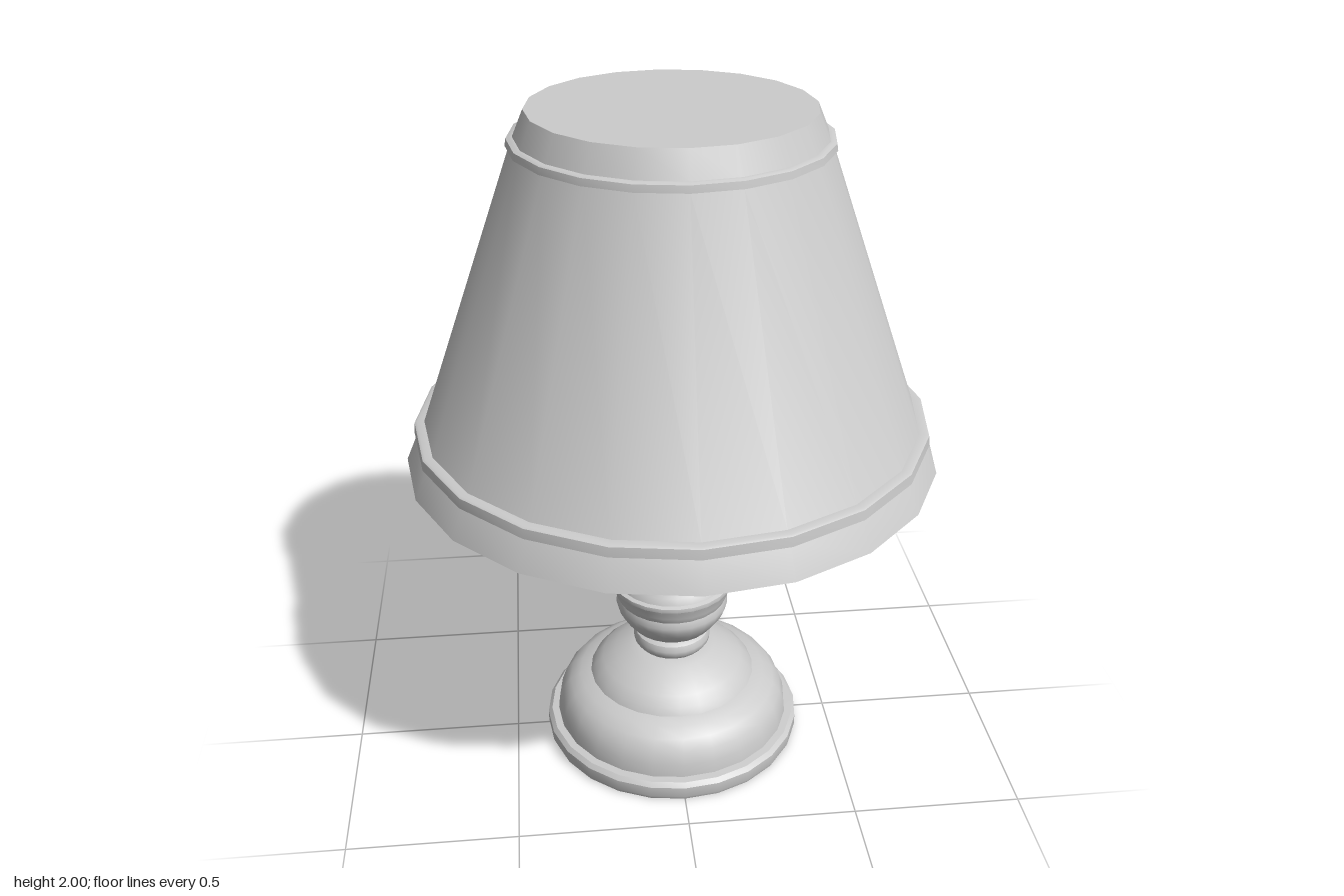
import * as THREE from 'three';
import { toCreasedNormals } from 'three/addons/utils/BufferGeometryUtils.js';

const material = new THREE.MeshStandardMaterial({ color: 0xcccccc });

// Turned part from [radius, height] pairs, smooth except at sharp edges
function turned(name, profile, sides, crease = 0.6) {
  const points = profile.map(([r, y]) => new THREE.Vector2(r, y));
  const geometry = toCreasedNormals(new THREE.LatheGeometry(points, sides), crease);
  const mesh = new THREE.Mesh(geometry, material);
  mesh.name = name;
  return mesh;
}

export function createModel() {
  const lamp = new THREE.Group();
  lamp.name = 'tableLamp';

  // Stepped foot with a domed shoulder
  lamp.add(turned('foot', [
    [0, 0], [0.395, 0], [0.4, 0.012], [0.4, 0.045], [0.388, 0.058], [0.366, 0.06],
    [0.362, 0.1], [0.348, 0.14], [0.325, 0.17], [0.292, 0.192], [0.258, 0.203],
    [0.245, 0.225], [0.22, 0.25], [0.18, 0.275], [0.135, 0.297], [0.105, 0.306], [0, 0.306],
  ], 24));

  // Small neck ring above the foot
  lamp.add(turned('neckRing', [
    [0, 0.3], [0.105, 0.305], [0.118, 0.322], [0.12, 0.338], [0.114, 0.355], [0.095, 0.367], [0, 0.367],
  ], 24));

  // Vase shaped body with a raised belt
  lamp.add(turned('body', [
    [0, 0.36], [0.095, 0.362], [0.128, 0.385], [0.155, 0.42], [0.168, 0.445], [0.173, 0.465],
    [0.167, 0.485], [0.176, 0.505], [0.178, 0.52], [0.187, 0.536], [0.186, 0.548], [0.174, 0.552],
    [0.165, 0.572], [0.135, 0.602], [0.121, 0.63], [0.117, 0.665], [0.105, 0.697],
    [0.083, 0.72], [0.06, 0.735], [0.06, 0.75], [0, 0.75],
  ], 24));

  // Upper knob with narrow beads
  lamp.add(turned('knob', [
    [0, 0.743], [0.08, 0.744], [0.115, 0.755], [0.143, 0.777], [0.153, 0.803], [0.159, 0.81],
    [0.17, 0.826], [0.168, 0.838], [0.155, 0.85], [0.141, 0.873], [0.135, 0.878], [0.137, 0.888],
    [0.128, 0.896], [0.095, 0.918], [0.078, 0.94], [0.068, 0.975], [0, 0.975],
  ], 24));

  // Socket collar and the post that carries the shade
  lamp.add(turned('socketCollar', [
    [0, 0.972], [0.1, 0.972], [0.106, 0.98], [0.106, 1.06], [0.1, 1.07], [0, 1.07],
  ], 24));
  lamp.add(turned('post', [[0, 1.06], [0.088, 1.06], [0.088, 1.985], [0, 1.985]], 24));

  // Hollow shade with a closed top
  lamp.add(turned('shade', [
    [0, 1.985], [0.366, 1.985], [0.74, 1.003], [0.762, 1.003], [0.722, 1.095],
    [0.705, 1.12], [0.422, 1.905], [0.412, 1.93], [0.382, 2], [0, 2],
  ], 20));

  // Trim bands round the bottom and top of the shade
  const bands = [['lowerTrim', 0.735, 0.7, 1.09, 1.122], ['upperTrim', 0.432, 0.405, 1.907, 1.93]];
  for (const [name, outer, inner, low, high] of bands) {
    lamp.add(turned(name, [
      [inner, low], [outer, low], [outer - 0.003, high - 0.004], [outer - 0.01, high], [inner, high], [inner, low],
    ], 20));
  }

  return lamp;
}
